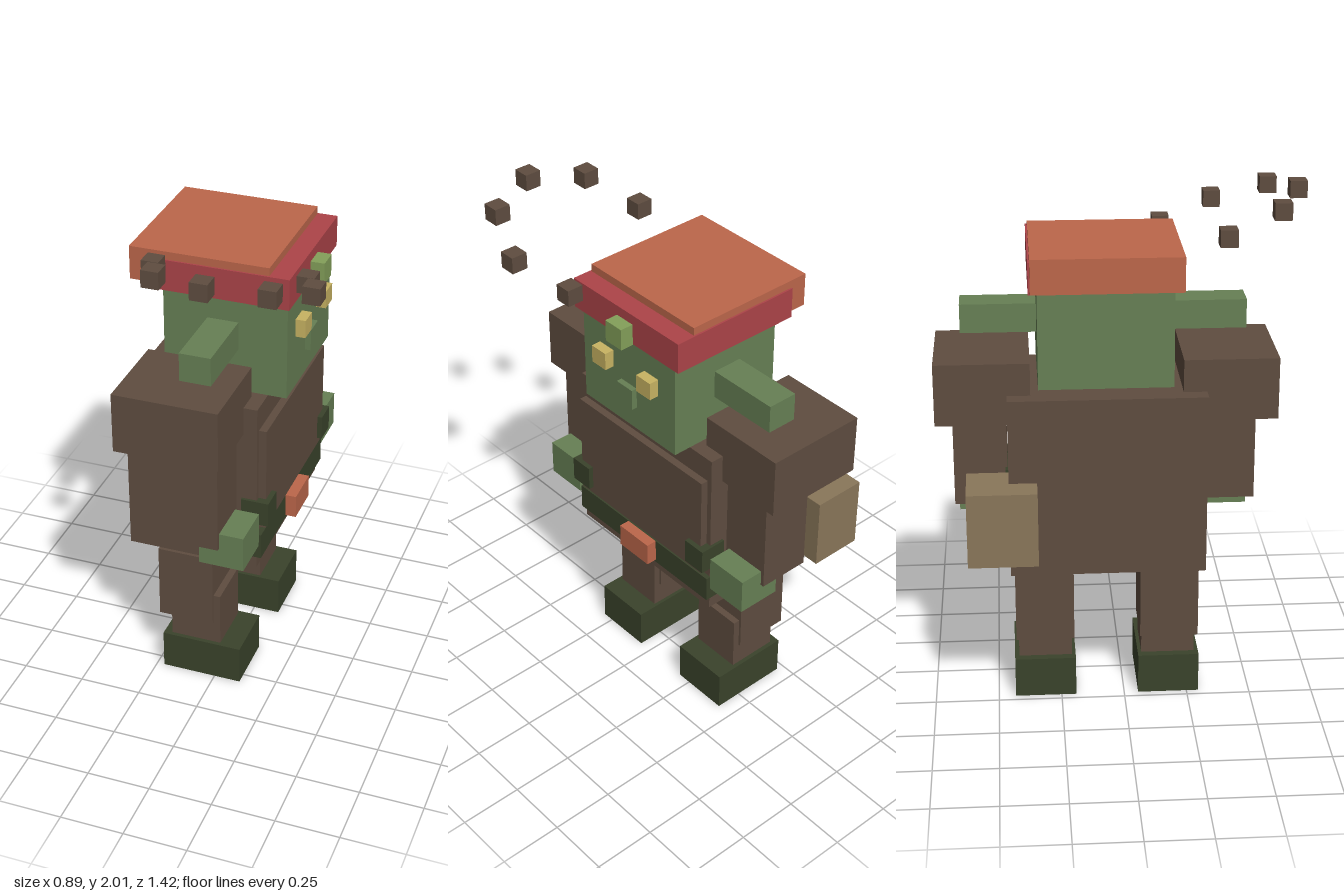
import * as THREE from 'three';

const MID = -0.068; // plane of symmetry of the body (it faces +x)

export function createModel() {
  const model = new THREE.Group();
  model.name = 'blockyGoblin';

  const mat = (name, color) => {
    const m = new THREE.MeshStandardMaterial({ color });
    m.name = name;
    return m;
  };
  const brown = mat('brown cloth', 0x5f4d40);
  const green = mat('green skin', 0x678055);
  const dark = mat('dark green leather', 0x3a432b);
  const red = mat('red hat band', 0xad4449);
  const orange = mat('orange', 0xbd674b);
  const tan = mat('tan sack', 0x8a775a);
  const yellow = mat('yellow eye', 0xc9b463);
  const lime = mat('light green gem', 0x84a05a);

  // Box from its lower and upper limits on each axis
  const box = (name, m, x0, x1, y0, y1, z0, z1) => {
    const mesh = new THREE.Mesh(new THREE.BoxGeometry(x1 - x0, y1 - y0, z1 - z0), m);
    mesh.position.set((x0 + x1) / 2, (y0 + y1) / 2, (z0 + z1) / 2);
    mesh.name = name;
    model.add(mesh);
  };
  // Box centred on the plane of symmetry, given its width
  const mid = (name, m, x0, x1, y0, y1, w) =>
    box(name, m, x0, x1, y0, y1, MID - w / 2, MID + w / 2);
  // Two mirrored boxes, given their inner and outer distance from the plane
  const pair = (name, m, x0, x1, y0, y1, d0, d1) => {
    box(name + 'A', m, x0, x1, y0, y1, MID + d0, MID + d1);
    box(name + 'B', m, x0, x1, y0, y1, MID - d1, MID - d0);
  };

  // Legs
  pair('foot', dark, -0.22, 0.108, 0, 0.163, 0.124, 0.365);
  pair('lowerLeg', brown, -0.187, 0.02, 0.16, 0.392, 0.138, 0.348);
  pair('upperLeg', brown, -0.235, -0.008, 0.26, 0.573, 0.13, 0.358);

  // Torso, belt and pouches
  mid('torso', brown, -0.345, 0.18, 0.595, 1.302, 0.746);
  mid('chestPlate', brown, 0.1, 0.21, 0.775, 1.204, 0.705);
  mid('belt', dark, 0.09, 0.2, 0.647, 0.753, 0.756);
  mid('buckle', orange, 0.18, 0.243, 0.658, 0.753, 0.164);
  pair('frontPouch', dark, 0.12, 0.23, 0.805, 0.906, 0.287, 0.384);
  pair('sidePouch', dark, -0.14, -0.03, 0.845, 0.946, 0.287, 0.384);
  box('sack', tan, -0.45, -0.235, 0.682, 0.976, -0.6, -0.335);

  // Arms
  pair('shoulder', brown, -0.283, 0.126, 1.188, 1.427, 0.285, 0.642);
  pair('arm', brown, -0.11, 0.1, 0.795, 1.2, 0.376, 0.582);
  pair('hand', green, 0.02, 0.196, 0.715, 0.86, 0.392, 0.568);

  // Head
  mid('head', green, -0.23, 0.253, 1.303, 1.75, 0.51);
  pair('ear', green, -0.057, 0.064, 1.475, 1.587, 0.25, 0.543);
  pair('eye', yellow, 0.23, 0.292, 1.517, 1.588, 0.087, 0.163);
  mid('nose', green, 0.23, 0.276, 1.4, 1.485, 0.085);

  // Hat
  mid('hatBand', red, -0.281, 0.268, 1.687, 1.809, 0.574);
  mid('hatTop', orange, -0.35, 0.19, 1.708, 1.84, 0.56);
  mid('hatGem', lime, 0.24, 0.322, 1.684, 1.77, 0.086);

  // Tilted broken ring of floating cubes
  const s = 0.033;
  for (let i = -1; i <= 4; i++) {
    const a = (i * Math.PI) / 4;
    const x = 0.113 + 0.297 * Math.cos(a);
    const y = 1.866 + 0.106 * Math.sin(a);
    const z = 0.384 + 0.297 * Math.sin(a);
    box('floatingCube' + (i + 2), brown, x - s, x + s, y - s, y + s, z - s, z + s);
  }
  return model;
}
